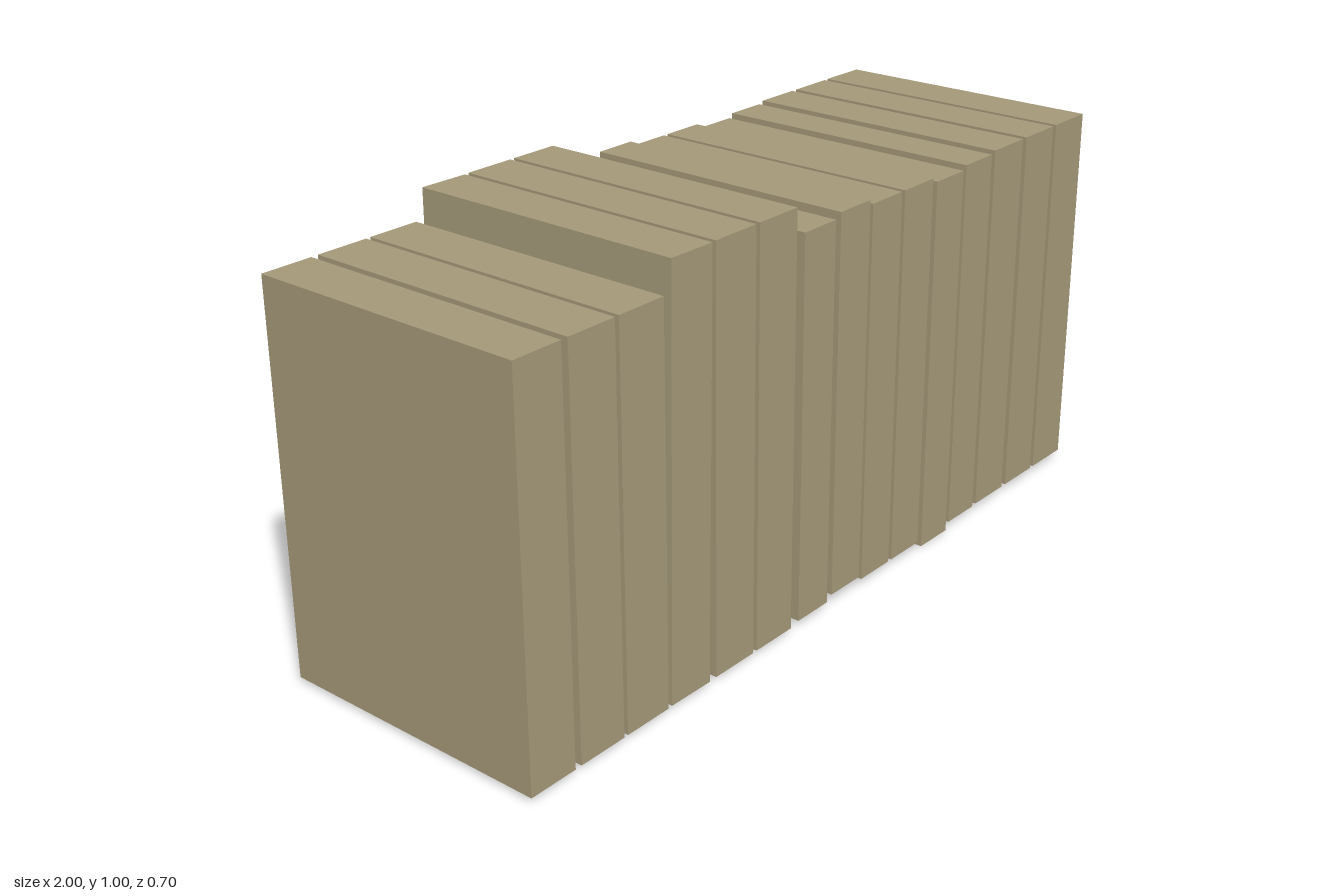
import * as THREE from 'three';

const DEPTH = 0.688;
const YAW = -0.011; // every volume is turned very slightly

// left x, right x, bottom y, top y, lean (radians)
const BOOKS = [
  [-1.0, -0.868, 0.01, 0.927, 0],
  [-0.858, -0.724, 0.01, 0.927, 0],
  [-0.72, -0.586, 0.01, 0.927, 0],
  [-0.576, -0.446, 0.01, 0.996, -0.012],
  [-0.437, -0.303, 0.01, 0.996, 0],
  [-0.298, -0.168, 0.01, 0.996, 0],
  [-0.147, -0.033, 0.016, 0.934, 0],
  [-0.022, 0.092, 0.028, 0.946, 0],
  [0.095, 0.212, 0.018, 0.934, 0],
  [0.217, 0.335, 0.018, 0.934, 0],
  [0.345, 0.46, 0.0, 0.922, 0],
  [0.464, 0.58, 0.018, 0.932, 0],
  [0.587, 0.717, 0.02, 0.938, 0],
  [0.727, 0.857, 0.02, 0.938, 0],
  [0.864, 1.0, 0.02, 0.938, 0],
];

export function createModel() {
  const group = new THREE.Group();
  group.name = 'bookRow';
  const cover = new THREE.MeshStandardMaterial({ color: 0xa39878 });
  cover.name = 'tan cover';

  BOOKS.forEach(([x0, x1, y0, y1, lean], i) => {
    // The turn widens the outline, so the slab itself is a little thinner
    const thickness = x1 - x0 - DEPTH * Math.abs(Math.sin(YAW));
    const book = new THREE.Mesh(new THREE.BoxGeometry(thickness, y1 - y0, DEPTH), cover);
    const x = (x0 + x1) / 2;
    // The row drifts forward towards its left end
    book.position.set(x, (y0 + y1) / 2, 0.008 * x - 0.001);
    book.rotation.set(0, YAW, lean);
    book.name = `book${i + 1}`;
    group.add(book);
  });
  return group;
}
